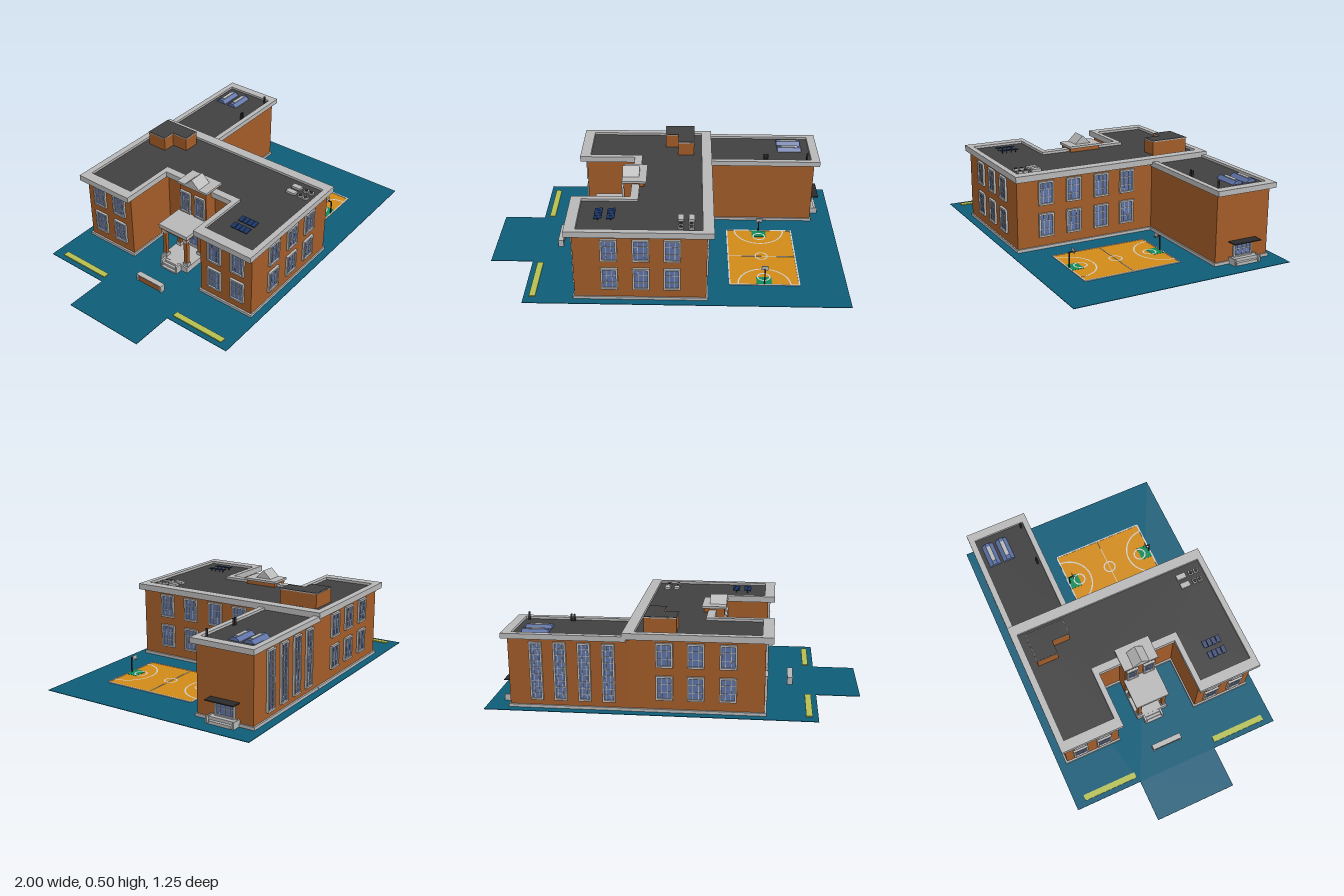
import * as THREE from 'three';

const mat = (color) => new THREE.MeshStandardMaterial({ color, side: THREE.DoubleSide });
const M = {
  brick: mat(0xa35c28), trim: mat(0xb8b8b8), deck: mat(0x404040), ground: mat(0x0e5c78),
  glass: mat(0x5d72a6), dark: mat(0x2a2a2a), court: mat(0xd08a18), line: mat(0xd8d8d8),
  key: mat(0x0e8a58), strip: mat(0xb4be50), panel: mat(0x1c3566),
};

function add(parent, name, geo, m) {
  const mesh = new THREE.Mesh(geo, m);
  mesh.name = name;
  parent.add(mesh);
  return mesh;
}

// Box given by its limits on each axis
function box(parent, name, m, x0, x1, y0, y1, z0, z1) {
  const b = add(parent, name, new THREE.BoxGeometry(x1 - x0, y1 - y0, z1 - z0), m);
  b.position.set((x0 + x1) / 2, (y0 + y1) / 2, (z0 + z1) / 2);
  return b;
}

// Horizontal slab from an [x, z] outline, with an optional hole
function slab(parent, name, m, outline, y0, y1, hole) {
  const pts = (list) => list.map(([x, z]) => new THREE.Vector2(x, -z));
  const shape = new THREE.Shape(pts(outline));
  if (hole) shape.holes.push(new THREE.Path(pts(hole)));
  const geo = new THREE.ExtrudeGeometry(shape, { depth: y1 - y0, bevelEnabled: false });
  geo.rotateX(-Math.PI / 2).translate(0, y0, 0);
  return add(parent, name, geo, m);
}

// U-shaped plan of the main block
const uPlan = (w, e, n, s, notchX, notchN, notchS) => [
  [w, n], [e, n], [e, s], [w, s], [w, notchS], [notchX, notchS], [notchX, notchN], [w, notchN],
];

// Framed window with glazing bars, facing +z before turning
function windowUnit(parent, x, y, z, turn, w, h, cols, rows) {
  const g = new THREE.Group();
  g.name = 'window';
  const a = w / 2, b = h / 2, t = 0.01;
  box(g, 'glass', M.glass, -a + t, a - t, -b + t, b - t, 0, 0.005);
  for (const s of [-1, 1]) {
    box(g, 'frameSide', M.trim, s * (a - t / 2) - t / 2, s * (a - t / 2) + t / 2, -b, b, 0, 0.012);
    box(g, 'frameRail', M.trim, -a, a, s * (b - t / 2) - t / 2, s * (b - t / 2) + t / 2, 0, 0.014);
  }
  for (let i = 1; i < cols; i++) {
    const p = -a + (w * i) / cols;
    box(g, 'glazingBar', M.trim, p - 0.0015, p + 0.0015, -b, b, 0, 0.008);
  }
  for (let i = 1; i < rows; i++) {
    const p = -b + (h * i) / rows;
    box(g, 'glazingBar', M.trim, -a, a, p - 0.0015, p + 0.0015, 0, 0.008);
  }
  g.position.set(x, y, z);
  g.rotation.y = turn;
  parent.add(g);
}

// Flat line arc lying on the court
function courtArc(parent, x, z, r, start, sweep) {
  const arc = add(parent, 'courtArc', new THREE.RingGeometry(r - 0.004, r + 0.004, 32, 1, start, sweep), M.line);
  arc.rotation.x = -Math.PI / 2;
  arc.position.set(x, 0.0085, z);
}

function buildCourt(parent) {
  const g = new THREE.Group();
  g.name = 'basketballCourt';
  const x0 = 0.357, x1 = 0.74, z0 = -0.12, z1 = 0.433, cx = 0.547, cz = (z0 + z1) / 2;
  box(g, 'courtSurface', M.court, x0, x1, 0.003, 0.006, z0, z1);
  for (const x of [x0, x1]) box(g, 'sideLine', M.line, x - 0.004, x + 0.004, 0.003, 0.008, z0, z1);
  for (const z of [z0, z1]) box(g, 'endLine', M.line, x0, x1, 0.003, 0.008, z - 0.004, z + 0.004);
  box(g, 'halfLine', M.line, x0, x1, 0.003, 0.008, cz - 0.002, cz + 0.002);
  courtArc(g, cx, cz, 0.034, 0, Math.PI * 2);
  for (const s of [-1, 1]) {
    const end = s < 0 ? z0 : z1, at = (d) => end - s * d;
    const span = (d0, d1) => [Math.min(at(d0), at(d1)), Math.max(at(d0), at(d1))];
    box(g, 'key', M.key, cx - 0.042, cx + 0.042, 0.003, 0.007, ...span(0.004, 0.07));
    courtArc(g, cx, at(0.07), 0.034, 0, Math.PI * 2);
    courtArc(g, cx, at(0), 0.145, s < 0 ? Math.PI : 0, Math.PI);
    // Hoop: post, arm, backboard and rim
    box(g, 'hoopPost', M.dark, cx - 0.003, cx + 0.003, 0.004, 0.092, ...span(0.003, 0.009));
    box(g, 'hoopArm', M.dark, cx - 0.003, cx + 0.003, 0.087, 0.092, ...span(0.003, 0.03));
    box(g, 'backboard', M.trim, cx - 0.018, cx + 0.018, 0.083, 0.108, ...span(0.028, 0.031));
    const rim = add(g, 'hoopRim', new THREE.TorusGeometry(0.007, 0.001, 6, 16), M.dark);
    rim.rotation.x = Math.PI / 2;
    rim.position.set(cx, 0.088, at(0.038));
  }
  parent.add(g);
}

function buildEntrance(parent) {
  const g = new THREE.Group();
  g.name = 'entrance';
  // Projecting bay with its gable
  box(g, 'bayWall', M.brick, -0.24, -0.125, 0, 0.445, -0.098, 0.088);
  box(g, 'bayCornice', M.trim, -0.25, -0.113, 0.443, 0.456, -0.108, 0.098);
  const gable = new THREE.Shape([[-0.05, 0.455], [0.05, 0.455], [0, 0.503]].map((p) => new THREE.Vector2(...p)));
  const roof = add(g, 'gable', new THREE.ExtrudeGeometry(gable, { depth: 0.095, bevelEnabled: false }), M.trim);
  roof.rotation.y = Math.PI / 2;
  roof.position.set(-0.25, 0, -0.005);
  for (const z of [-0.055, 0.045]) windowUnit(g, -0.24, 0.335, z, -Math.PI / 2, 0.07, 0.14, 3, 3);
  windowUnit(g, -0.24, 0.12, -0.005, -Math.PI / 2, 0.1, 0.15, 2, 2);
  // Porch
  box(g, 'porchFloor', M.trim, -0.42, -0.24, 0.002, 0.04, -0.1, 0.09);
  for (let i = 0; i < 3; i++)
    box(g, 'step', M.trim, -0.465 + i * 0.015, -0.42, 0.002, 0.013 * (i + 1), -0.06, 0.04);
  for (const z of [-0.062, 0.042]) box(g, 'stepCheek', M.trim, -0.46, -0.42, 0.002, 0.05, z - 0.006, z + 0.006);
  for (const x of [-0.395, -0.275]) for (const z of [-0.08, 0.07]) {
    box(g, 'columnBase', M.trim, x - 0.015, x + 0.015, 0.04, 0.06, z - 0.015, z + 0.015);
    box(g, 'column', M.brick, x - 0.011, x + 0.011, 0.06, 0.205, z - 0.011, z + 0.011);
    box(g, 'columnCap', M.trim, x - 0.015, x + 0.015, 0.205, 0.22, z - 0.015, z + 0.015);
  }
  box(g, 'porchBeam', M.brick, -0.41, -0.24, 0.22, 0.235, -0.098, 0.085);
  box(g, 'porchRoof', M.trim, -0.418, -0.24, 0.235, 0.258, -0.108, 0.093);
  parent.add(g);
}

function buildRoofItems(parent) {
  const g = new THREE.Group();
  g.name = 'roofEquipment';
  // Stair housing
  const plan = [[-0.015, -0.52], [0.155, -0.52], [0.155, -0.3], [0.06, -0.3], [0.06, -0.4], [-0.015, -0.4]];
  slab(g, 'stairHousing', M.brick, plan, 0.41, 0.5);
  slab(g, 'stairHousingCap', M.trim, plan.map(([x, z]) => [0.07 + (x - 0.07) * 1.03, -0.41 + (z + 0.41) * 1.03]), 0.498, 0.503);
  slab(g, 'stairHousingRoof', M.deck, plan, 0.503, 0.505);
  // Solar panels
  for (const x of [-0.353, -0.285]) for (let i = 0; i < 4; i++) {
    const p = box(g, 'solarPanel', M.panel, x - 0.021, x + 0.021, 0.434, 0.438, 0.355 + i * 0.027, 0.379 + i * 0.027);
    p.rotation.z = 0.12;
    box(g, 'panelLeg', M.dark, x - 0.002, x + 0.002, 0.415, 0.436, 0.366 + i * 0.027, 0.369 + i * 0.027);
  }
  // Air conditioning units and fans
  for (const x of [0.086, 0.142]) {
    box(g, 'airUnit', M.trim, x - 0.016, x + 0.016, 0.42, 0.433, 0.4, 0.455);
    for (const z of [0.488, 0.52]) {
      box(g, 'fanBox', M.trim, x - 0.014, x + 0.014, 0.42, 0.431, z - 0.013, z + 0.013);
      add(g, 'fan', new THREE.CylinderGeometry(0.01, 0.01, 0.002, 16), M.dark).position.set(x, 0.432, z);
    }
  }
  // Skylights with a raised ridge
  for (const z of [-0.506, -0.422]) {
    const s = new THREE.Shape([[-0.034, 0.402], [0.034, 0.402], [0.012, 0.42], [-0.012, 0.42]].map((p) => new THREE.Vector2(...p)));
    const sky = add(g, 'skylight', new THREE.ExtrudeGeometry(s, { depth: 0.142, bevelEnabled: false }), M.glass);
    sky.rotation.y = Math.PI / 2;
    sky.position.set(0.66, 0, z);
    box(g, 'skylightRidge', M.trim, 0.685, 0.78, 0.418, 0.423, z - 0.011, z + 0.011);
  }
  // Vent pipes
  for (const [x, top] of [[0.573, 0.44], [0.59, 0.44], [0.826, 0.447]])
    add(g, 'ventPipe', new THREE.CylinderGeometry(0.006, 0.006, top - 0.4, 10), M.dark).position.set(x, (top + 0.4) / 2, -0.282);
  parent.add(g);
}

export function createModel() {
  const model = new THREE.Group();
  model.name = 'schoolBuilding';

  // Site
  slab(model, 'ground', M.ground, [[-0.76, -0.63], [1, -0.63], [1, 0.625], [-0.76, 0.625],
    [-0.76, 0.235], [-1, 0.235], [-1, -0.24], [-0.76, -0.24]], 0.001, 0.004);
  for (const [a, b] of [[-0.568, -0.25], [0.25, 0.57]]) box(model, 'plantedStrip', M.strip, -0.73, -0.696, 0.003, 0.01, a, b);
  box(model, 'signWall', M.brick, -0.628, -0.606, 0.003, 0.04, -0.085, 0.075);
  box(model, 'signWallCap', M.trim, -0.633, -0.602, 0.04, 0.047, -0.088, 0.078);
  for (const z of [-0.094, 0.07]) box(model, 'signPier', M.trim, -0.633, -0.602, 0.003, 0.047, z, z + 0.012);

  // Main block: walls, plinth, deck, parapet
  slab(model, 'mainWalls', M.brick, uPlan(-0.48, 0.225, -0.575, 0.575, -0.16, -0.25, 0.24), 0, 0.405);
  slab(model, 'mainPlinth', M.trim, uPlan(-0.49, 0.235, -0.585, 0.582, -0.17, -0.242, 0.232), 0.002, 0.02);
  const inner = uPlan(-0.46, 0.2, -0.56, 0.56, -0.15, -0.265, 0.255);
  slab(model, 'mainDeck', M.deck, inner, 0.4, 0.42);
  slab(model, 'mainParapet', M.trim, uPlan(-0.52, 0.26, -0.597, 0.592, -0.195, -0.235, 0.225), 0.4, 0.434, inner);

  // Side wing
  box(model, 'wingWalls', M.brick, 0.22, 0.868, 0, 0.39, -0.575, -0.25);
  box(model, 'wingPlinth', M.trim, 0.22, 0.876, 0.002, 0.02, -0.584, -0.242);
  box(model, 'wingDeck', M.deck, 0.22, 0.86, 0.388, 0.402, -0.565, -0.26);
  slab(model, 'wingParapet', M.trim, [[0.24, -0.595], [0.9, -0.595], [0.9, -0.233], [0.24, -0.233],
    [0.24, -0.264], [0.85, -0.264], [0.85, -0.562], [0.24, -0.562]], 0.386, 0.415);

  // Windows on two floors
  for (const y of [0.138, 0.317]) {
    for (const x of [-0.29, -0.122, 0.042]) {
      windowUnit(model, x, y, 0.575, 0, 0.09, 0.133, 3, 3);
      windowUnit(model, x, y, -0.575, Math.PI, 0.09, 0.133, 3, 3);
    }
    for (const z of [0.408, 0.244, 0.076, -0.085]) windowUnit(model, 0.225, y, z, Math.PI / 2, 0.088, 0.133, 3, 3);
    for (const z of [-0.485, -0.34, 0.335, 0.485]) windowUnit(model, -0.48, y, z, -Math.PI / 2, 0.088, 0.133, 3, 3);
  }
  // Tall windows behind the wing
  for (const x of [0.335, 0.463, 0.592, 0.72]) windowUnit(model, x, 0.21, -0.575, Math.PI, 0.068, 0.32, 3, 9);

  // Wing door, canopy and steps
  windowUnit(model, 0.868, 0.078, -0.415, Math.PI / 2, 0.115, 0.09, 4, 2);
  box(model, 'doorCanopy', M.dark, 0.868, 0.923, 0.12, 0.125, -0.497, -0.33);
  box(model, 'doorLanding', M.trim, 0.868, 0.905, 0.003, 0.036, -0.49, -0.34);
  box(model, 'doorStep', M.trim, 0.868, 0.922, 0.003, 0.02, -0.48, -0.35);
  for (const z of [-0.497, -0.342]) box(model, 'doorCheek', M.trim, 0.868, 0.924, 0.003, 0.04, z, z + 0.008);

  buildEntrance(model);
  buildRoofItems(model);
  buildCourt(model);
  return model;
}
